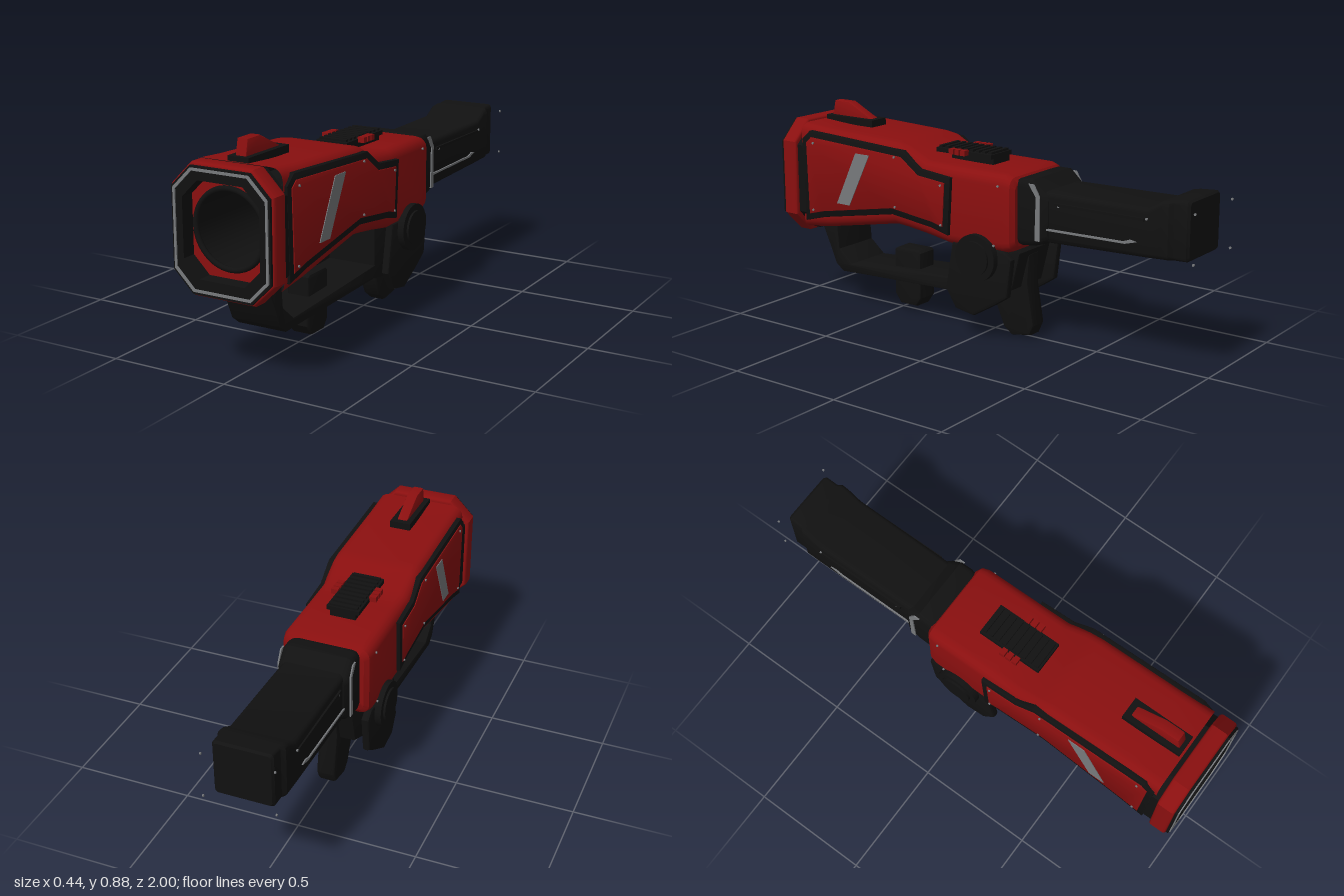
import * as THREE from 'three';
import { toCreasedNormals } from 'three/addons/utils/BufferGeometryUtils.js';

const mat = (name, color, side = THREE.FrontSide) => {
  const m = new THREE.MeshStandardMaterial({ color, side });
  m.name = name;
  return m;
};

export function createModel() {
  const red = mat('red paint', 0x8a0f0f);
  const black = mat('black plastic', 0x111111, THREE.DoubleSide);
  const grey = mat('grey trim', 0x77797c);
  const root = new THREE.Group();
  root.name = 'toyBlaster';

  const add = (name, geo, m, x = 0, y = 0, z = 0) => {
    const mesh = new THREE.Mesh(geo, m);
    mesh.name = name;
    mesh.position.set(x, y, z);
    root.add(mesh);
    return mesh;
  };
  const box = (name, m, w, h, d, x, y, z) => add(name, new THREE.BoxGeometry(w, h, d), m, x, y, z);
  const polygon = (pts) => new THREE.Shape(pts.map((p) => new THREE.Vector2(p[0], p[1])));

  // Side profile given as [z, y], extruded across x with a bevel
  const profile = (name, m, pts, width, x = 0, bevel = 0.01) => {
    const depth = width - 2 * bevel;
    const geo = new THREE.ExtrudeGeometry(polygon(pts), {
      depth, bevelEnabled: bevel > 0, bevelThickness: bevel, bevelSize: bevel, bevelOffset: -bevel, bevelSegments: 2,
    });
    geo.translate(0, 0, -depth / 2).rotateY(-Math.PI / 2);
    return add(name, toCreasedNormals(geo, 0.6), m, x);
  };

  // Rectangle with cut (n = 1) or rounded (n > 1) corners, counterclockwise
  const cutRect = (w, y0, y1, c, n = 1) => {
    const pts = [];
    [[w - c, y1 - c], [c - w, y1 - c], [c - w, y0 + c], [w - c, y0 + c]].forEach(([cx, cy], q) => {
      for (let i = 0; i <= n; i++) {
        const a = (q + i / n) * Math.PI / 2;
        pts.push([cx + c * Math.cos(a), cy + c * Math.sin(a)]);
      }
    });
    return pts;
  };

  // Skin over sections [z, half width, bottom, top, corner], front to back
  const loft = (name, m, sections, n, capFront = true) => {
    const rings = sections.map(([z, w, b, t, c]) => cutRect(w, b, t, c, n).map((p) => [...p, z]));
    const N = rings[0].length;
    const index = [];
    for (let i = 0; i < rings.length - 1; i++) {
      for (let j = 0; j < N; j++) {
        const a = i * N + j, b = i * N + (j + 1) % N;
        index.push(a, a + N, b, b, a + N, b + N);
      }
    }
    const last = (rings.length - 1) * N;
    for (let j = 1; j < N - 1; j++) {
      if (capFront) index.push(0, j, j + 1);
      index.push(last, last + j + 1, last + j);
    }
    const geo = new THREE.BufferGeometry();
    geo.setAttribute('position', new THREE.Float32BufferAttribute(rings.flat(2), 3));
    geo.setIndex(index);
    return add(name, toCreasedNormals(geo, 0.6), m);
  };

  // Plate facing +z with a hole
  const frame = (name, m, outer, hole, z0, z1, bevel = 0) => {
    const s = polygon(outer);
    s.holes.push(hole);
    const geo = new THREE.ExtrudeGeometry(s, {
      depth: z1 - z0 - 2 * bevel, bevelEnabled: bevel > 0, bevelSize: bevel, bevelThickness: bevel,
      bevelOffset: -bevel, bevelSegments: 3, curveSegments: 32,
    });
    return add(name, toCreasedNormals(geo, 0.6), m, 0, 0, z0 + bevel);
  };

  // Shrink a clockwise or counterclockwise outline by an even margin
  const inset = (pts, d) => {
    const s = Math.sign(THREE.ShapeUtils.area(pts.map(([x, y]) => ({ x, y }))));
    return pts.map((p, i) => {
      const a = pts[(i + pts.length - 1) % pts.length], b = pts[(i + 1) % pts.length];
      const n = [[a, p], [p, b]].map(([u, v]) => new THREE.Vector2(u[1] - v[1], v[0] - u[0]).normalize().multiplyScalar(s));
      const k = d / (1 + n[0].dot(n[1]));
      return [p[0] + (n[0].x + n[1].x) * k, p[1] + (n[0].y + n[1].y) * k];
    });
  };

  // Main shell
  loft('bodyShell', red, [
    [0.89, 0.195, 0.335, 0.8, 0.045], [0.75, 0.195, 0.355, 0.79, 0.045], [0.38, 0.195, 0.425, 0.775, 0.045],
    [0.32, 0.195, 0.42, 0.765, 0.045], [0.22, 0.19, 0.405, 0.715, 0.045], [0.1, 0.19, 0.385, 0.712, 0.045],
    [-0.17, 0.19, 0.39, 0.71, 0.045], [-0.2, 0.183, 0.4, 0.7, 0.04], [-0.215, 0.165, 0.42, 0.68, 0.03],
  ], 4, false);

  // Muzzle
  frame('muzzleGroove', black, cutRect(0.205, 0.325, 0.79, 0.085), polygon(cutRect(0.17, 0.37, 0.75, 0.07)), 0.87, 0.92);
  frame('muzzleRim', red, cutRect(0.22, 0.31, 0.807, 0.088), polygon(cutRect(0.175, 0.355, 0.765, 0.07)), 0.908, 0.985, 0.012);
  frame('muzzleLip', black, cutRect(0.211, 0.32, 0.797, 0.083), polygon(cutRect(0.165, 0.38, 0.745, 0.068)), 0.93, 0.995);
  frame('muzzleTrim', grey, cutRect(0.203, 0.33, 0.789, 0.079), polygon(cutRect(0.193, 0.34, 0.779, 0.075)), 0.99, 1);
  frame('muzzlePlate', red, cutRect(0.172, 0.37, 0.755, 0.07),
    new THREE.Path().absarc(0, 0.565, 0.15, 0, Math.PI * 2, true), 0.92, 0.935);
  add('boreRing', new THREE.TorusGeometry(0.15, 0.011, 10, 48), black, 0, 0.565, 0.937);
  add('boreWall', new THREE.CylinderGeometry(0.145, 0.145, 0.38, 48, 1, true).rotateX(Math.PI / 2), black, 0, 0.565, 0.745);
  add('boreEnd', new THREE.CircleGeometry(0.145, 48), red, 0, 0.565, 0.556);

  // Side panels, stripes, hinge plates, bolts and stock trim, mirrored
  const panel = [[0.88, 0.735], [0.835, 0.775], [0.32, 0.75], [0.23, 0.685], [0.075, 0.67], [0.09, 0.43],
    [0.17, 0.45], [0.38, 0.475], [0.76, 0.405], [0.87, 0.375]];
  const hinge = [[0.085, 0.4], [0.12, 0.2], [0.07, 0.12], [-0.02, 0.105], [-0.13, 0.17], [-0.19, 0.21], [-0.21, 0.37], [-0.17, 0.4]];
  const bolts = [[0.81, 0.725, 0.213], [0.82, 0.43, 0.213], [0.36, 0.72, 0.213], [0.36, 0.51, 0.213], [0.12, 0.635, 0.213],
    [0.12, 0.47, 0.213], [-0.15, 0.665, 0.192], [-0.13, 0.42, 0.192], [-0.4, 0.61, 0.137], [-0.79, 0.62, 0.137],
    [-0.995, 0.67, 0.145], [-0.995, 0.48, 0.145]];
  for (const s of [1, -1]) {
    profile('panelBorder', black, panel, 0.03, s * 0.192, 0.004);
    profile('panelFace', red, inset(panel, 0.026), 0.03, s * 0.196, 0.003);
    profile('panelStripe', grey, [[0.57, 0.71], [0.495, 0.71], [0.61, 0.48], [0.68, 0.48]], 0.006, s * 0.211, 0);
    profile('hingePlate', black, hinge, 0.036, s * 0.168, 0.012);
    for (const [r, w, x] of [[0.097, 0.03, 0.198], [0.07, 0.012, 0.216]]) {
      add('hingeDisc', new THREE.CylinderGeometry(r, r, w, 32).rotateZ(Math.PI / 2), black, s * x, 0.36, -0.05);
    }
    for (const [z, y, x] of bolts) {
      add('bolt', new THREE.CylinderGeometry(0.005, 0.005, 0.006, 8).rotateZ(Math.PI / 2), grey, s * x, y, z);
    }
    profile('collarTrim', grey, [[-0.27, 0.685], [-0.295, 0.685], [-0.322, 0.64], [-0.322, 0.46], [-0.3, 0.46], [-0.305, 0.635]],
      0.006, s * 0.151, 0);
    profile('stockTrim', grey, [[-0.34, 0.505], [-0.34, 0.513], [-0.69, 0.519], [-0.72, 0.53], [-0.75, 0.525], [-0.7, 0.511]],
      0.006, s * 0.136, 0);
    box('stockRidge', black, 0.008, 0.012, 0.4, s * 0.136, 0.615, -0.58);
  }

  // Front sight
  box('sightBase', black, 0.09, 0.03, 0.26, 0, 0.803, 0.75);
  profile('frontSight', red, [[0.865, 0.81], [0.85, 0.88], [0.77, 0.88], [0.64, 0.815], [0.64, 0.805]], 0.046, 0, 0.005);

  // Rear rail with ribs and a red slider
  box('railBase', black, 0.11, 0.03, 0.21, 0, 0.722, 0.075);
  box('railDeck', black, 0.14, 0.018, 0.28, 0, 0.744, 0.11);
  for (let i = 0; i < 9; i++) box('railRib', black, 0.12, 0.012, 0.016, 0, 0.756, -0.015 + i * 0.031);
  for (const s of [1, -1]) {
    for (let i = 0; i < 3; i++) box('railSlider', red, 0.03, 0.022, 0.022, s * 0.083, 0.75, 0.095 + i * 0.029);
  }

  // Shoulder stock
  loft('stockCollar', black, [
    [-0.2, 0.145, 0.43, 0.69, 0.03], [-0.23, 0.15, 0.425, 0.7, 0.03], [-0.28, 0.15, 0.43, 0.7, 0.03],
    [-0.33, 0.148, 0.445, 0.655, 0.03], [-0.35, 0.135, 0.455, 0.645, 0.03],
  ], 3);
  loft('stock', black, [
    [-0.3, 0.13, 0.45, 0.655, 0.02], [-0.79, 0.134, 0.467, 0.66, 0.02], [-0.85, 0.134, 0.47, 0.695, 0.02],
    [-0.88, 0.134, 0.471, 0.7, 0.02], [-0.895, 0.12, 0.472, 0.703, 0.015], [-0.95, 0.12, 0.474, 0.707, 0.015],
    [-0.96, 0.112, 0.482, 0.7, 0.012],
  ], 3);

  // Lower guard and grips
  profile('lowerGuard', black, [[0.87, 0.35], [0.82, 0.24], [0.79, 0.17], [0.75, 0.14], [0.7, 0.143], [0.08, 0.165],
    [0.08, 0.22], [0.4, 0.2], [0.7, 0.182], [0.77, 0.24], [0.78, 0.36]], 0.22, 0, 0.006);
  profile('gripHousing', black, [[0.1, 0.4], [0.1, 0.16], [0.0, 0.15], [-0.16, 0.22], [-0.2, 0.38], [-0.17, 0.41]], 0.22);
  profile('rearGrip', black, [[-0.02, 0.3], [-0.03, 0.12], [-0.07, 0.03], [-0.11, 0.0], [-0.2, 0.015], [-0.22, 0.06],
    [-0.19, 0.24], [-0.2, 0.36]], 0.085, 0, 0.015);
  profile('foreGrip', black, [[0.505, 0.27], [0.49, 0.28], [0.375, 0.28], [0.362, 0.27], [0.362, 0.07], [0.39, 0.03],
    [0.475, 0.03], [0.505, 0.07]], 0.1, 0, 0.012);

  return root;
}
